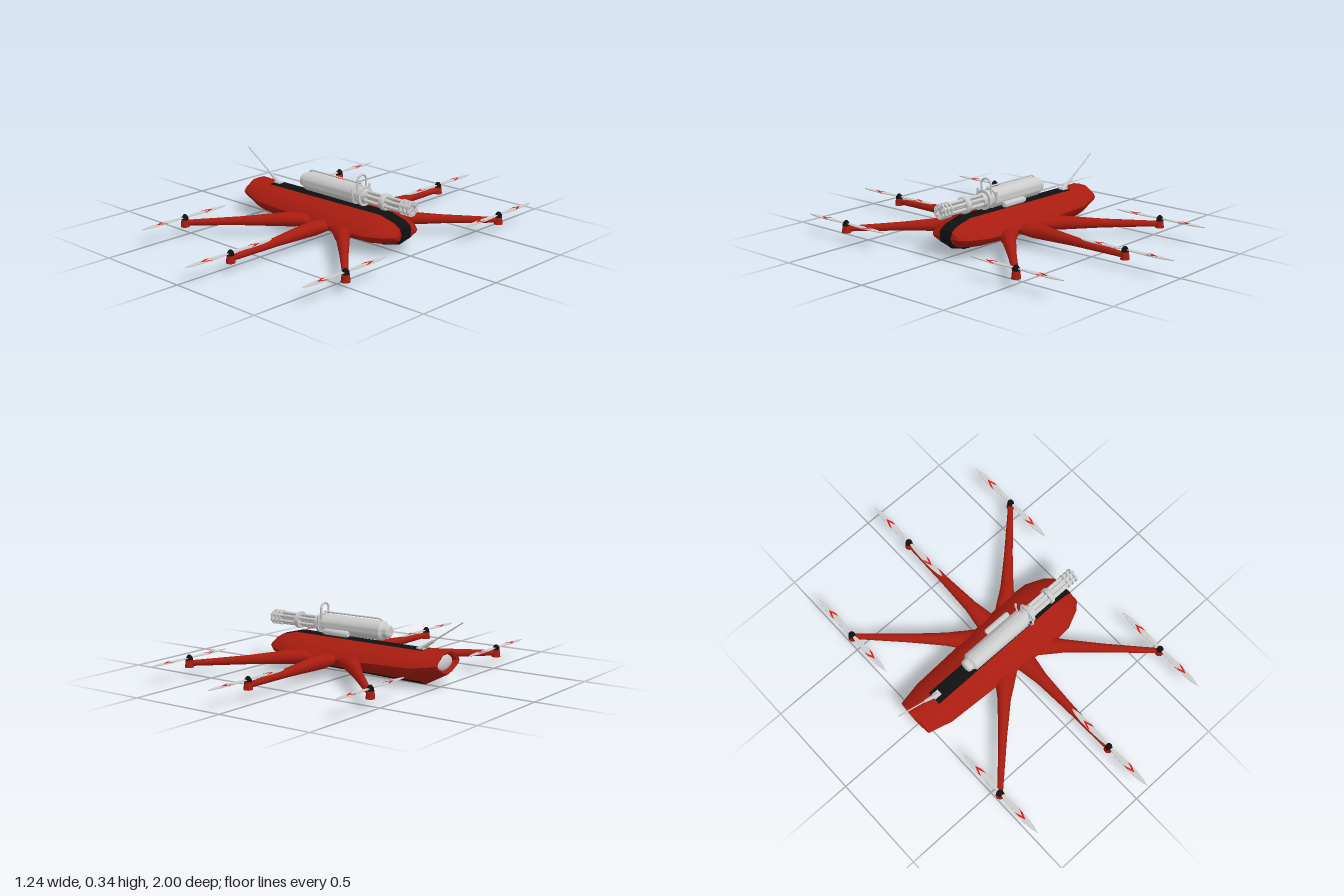
import * as THREE from 'three';
import { toCreasedNormals } from 'three/addons/utils/BufferGeometryUtils.js';

const paint = (color) => new THREE.MeshStandardMaterial({ color });
const red = paint(0xa81c10), black = paint(0x101010), grey = paint(0xcccccc), signal = paint(0xd81818);
const V = (x, y, z) => new THREE.Vector3(x, y, z);

function add(parent, name, geometry, material, x = 0, y = 0, z = 0) {
  const mesh = new THREE.Mesh(geometry, material);
  mesh.name = name;
  mesh.position.set(x, y, z);
  parent.add(mesh);
  return mesh;
}

// Skin between rings that follow +x; pick(i, j) chooses which panels to keep
function loft(rings, pick = () => true, crease = 0.6) {
  const pos = [];
  for (let i = 0; i < rings.length - 1; i++) {
    const n = rings[i].length;
    for (let j = 0; j < n; j++) {
      if (!pick(i, j)) continue;
      const k = (j + 1) % n;
      const a = rings[i][j], b = rings[i][k], c = rings[i + 1][k], d = rings[i + 1][j];
      for (const p of [a, b, c, a, c, d]) pos.push(p.x, p.y, p.z);
    }
  }
  const g = new THREE.BufferGeometry();
  g.setAttribute('position', new THREE.Float32BufferAttribute(pos, 3));
  return toCreasedNormals(g, crease);
}

// Turned part lying along x; profile holds [x, radius] pairs
function turned(profile, sides = 24) {
  const g = new THREE.LatheGeometry(profile.map(([x, r]) => new THREE.Vector2(r, x)), sides);
  return toCreasedNormals(g.rotateZ(-Math.PI / 2), 0.6);
}

function rod(points, radius, sides = 8) {
  const path = new THREE.CatmullRomCurve3(points, false, 'catmullrom', 0.15);
  return new THREE.TubeGeometry(path, points.length * 8, radius, sides);
}

// Hull cross-section: narrow spine, sloping flanks, V-shaped keel
function hullRing([x, top, bottom, w, mid]) {
  const up = top - mid, down = mid - bottom, s = Math.min(0.038, w * 0.45);
  const half = [
    [0, top], [s, mid + up * 0.95], [w * 0.62, mid + up * 0.66], [w * 0.9, mid + up * 0.32], [w, mid],
    [w * 0.9, mid - down * 0.3], [w * 0.62, mid - down * 0.57], [s, mid - down * 0.8], [0, bottom],
  ];
  const other = half.slice(1, -1).reverse().map(([z, y]) => [-z, y]);
  return [...half, ...other].map(([z, y]) => V(x, y, z));
}

function buildHull(root) {
  // x, top, bottom, half width, height of widest line
  const stations = [
    [-0.50, 0.160, 0.088, 0.070, 0.124],
    [-0.535, 0.168, 0.080, 0.085, 0.124],
    [-0.54, 0.178, 0.070, 0.102, 0.124],
    [-0.415, 0.178, 0.005, 0.130, 0.105],
    [-0.10, 0.181, 0.011, 0.145, 0.100],
    [0.22, 0.184, 0.018, 0.168, 0.100],
    [0.34, 0.185, 0.022, 0.160, 0.102],
    [0.43, 0.162, 0.045, 0.120, 0.104],
    [0.465, 0.140, 0.073, 0.088, 0.106],
    [0.472, 0.106, 0.106, 0.075, 0.106],
  ];
  const rings = stations.map(hullRing);
  const stripe = (i, j) => i >= 3 && [0, 7, 8, 15].includes(j);
  add(root, 'hull', loft(rings, (i, j) => !stripe(i, j)), red);
  add(root, 'hullStripe', loft(rings, stripe), black);
  const lens = add(root, 'rearLens', new THREE.SphereGeometry(1, 24, 12), grey, -0.51, 0.124, 0);
  lens.scale.set(0.02, 0.04, 0.078);
}

// Flat pointed propeller lying along z, with a chevron on each blade
function buildRotor(parent) {
  const rotor = new THREE.Group();
  rotor.name = 'rotor';
  parent.add(rotor);
  const outline = [[0.006, 0.015], [0.011, 0.05], [0.015, 0.12], [0.014, 0.19], [0.009, 0.23], [0, 0.265]];
  const right = [...outline.slice(0, -1).reverse().map(([x, z]) => [x, -z]), ...outline];
  const left = right.slice(0, -1).reverse().map(([x, z]) => [-x, z]);
  const shape = new THREE.Shape([...right, ...left, [0, -0.265]].map(([x, z]) => new THREE.Vector2(x, z)));
  const flat = (s, t) => new THREE.ExtrudeGeometry(s, { depth: t, bevelEnabled: false })
    .translate(0, 0, -t / 2).rotateX(Math.PI / 2);
  add(rotor, 'blades', flat(shape, 0.004), grey);
  for (const side of [1, -1]) {
    const chevron = [[0, 0.178], [0.014, 0.14], [0.014, 0.118], [0, 0.155], [-0.014, 0.118], [-0.014, 0.14]];
    const mark = new THREE.Shape(chevron.map(([x, z]) => new THREE.Vector2(x, z * side)));
    add(rotor, 'bladeMark', flat(mark, 0.0055), signal);
  }
  rotor.position.y = 0.102;
}

function buildArm(root, x0, x1, z0, z1) {
  const arm = new THREE.Group();
  arm.name = 'arm';
  root.add(arm);
  // Tapered boom, flaring where it enters the hull
  const length = Math.hypot(x1 - x0, z1 - z0);
  const stations = [[0, 0.06, 0.026, 0.092], [0.1, 0.044, 0.036, 0.09], [0.16, 0.033, 0.035, 0.089],
    [0.35, 0.022, 0.023, 0.083], [1, 0.013, 0.014, 0.075]];
  const rings = stations.map(([u, w, h, y]) => Array.from({ length: 12 }, (_, k) => {
    const a = k * Math.PI / 6;
    return V(u === 1 ? length : u, y + h * Math.cos(a), w * Math.sin(a));
  }));
  const boom = add(arm, 'boom', loft(rings, undefined, 1), red, x0, 0, z0);
  boom.rotation.y = -Math.atan2(z1 - z0, x1 - x0);
  // Motor pod and propeller at the tip
  const tip = new THREE.Group();
  tip.name = 'motor';
  tip.position.set(x1, 0, z1);
  arm.add(tip);
  add(tip, 'motorPod', new THREE.CylinderGeometry(0.018, 0.022, 0.036, 16), red, 0, 0.073, 0);
  add(tip, 'motorBell', new THREE.CylinderGeometry(0.016, 0.018, 0.016, 16), black, 0, 0.097, 0);
  add(tip, 'motorCap', new THREE.SphereGeometry(0.013, 14, 6, 0, Math.PI * 2, 0, Math.PI / 2), black, 0, 0.105, 0);
  buildRotor(tip);
}

function buildGun(root) {
  const gun = new THREE.Group();
  gun.name = 'rotaryGun';
  gun.position.y = 0.237;
  root.add(gun);
  add(gun, 'gunHousing', turned([[-0.212, 0], [-0.212, 0.024], [-0.205, 0.032], [-0.182, 0.034], [-0.17, 0.048],
    [0.165, 0.049], [0.165, 0.04], [0.196, 0.038], [0.196, 0.049], [0.212, 0.049], [0.212, 0.036],
    [0.232, 0.034], [0.232, 0]], 32), grey);
  // Six barrels around a central spindle
  for (let i = 0; i < 6; i++) {
    const a = i * Math.PI / 3;
    const barrel = turned([[0.22, 0], [0.22, 0.008], [0.514, 0.008], [0.514, 0.0045], [0.48, 0.0045], [0.48, 0]], 12);
    add(gun, 'barrel', barrel, grey, 0, 0.026 * Math.cos(a), 0.026 * Math.sin(a));
  }
  add(gun, 'spindle', turned([[0.22, 0], [0.22, 0.012], [0.5, 0.012], [0.5, 0]], 16), grey);
  add(gun, 'barrelClamp', turned([[0.33, 0], [0.33, 0.042], [0.35, 0.042], [0.356, 0.036], [0.356, 0]]), grey);
  for (const x of [0.455, 0.48, 0.503])
    add(gun, 'barrelRing', turned([[x - 0.004, 0.018], [x - 0.004, 0.037], [x + 0.004, 0.037], [x + 0.004, 0.018],
      [x - 0.004, 0.018]]), grey);
  // Carrying rail, upright hoop and lower cradle
  add(gun, 'topRail', rod([V(-0.172, 0.03, 0), V(-0.165, 0.048, 0), V(-0.14, 0.058, 0), V(0.188, 0.058, 0)], 0.0045), grey);
  add(gun, 'hoop', rod([V(0.186, 0.02, -0.03), V(0.186, 0.08, -0.03), V(0.186, 0.096, -0.02), V(0.186, 0.103, 0),
    V(0.186, 0.096, 0.02), V(0.186, 0.08, 0.03), V(0.186, 0.02, 0.03)], 0.0055), grey);
  const cradle = add(gun, 'cradle', new THREE.TorusGeometry(0.062, 0.004, 8, 28, Math.PI), grey, 0.18, 0.022, 0);
  cradle.rotation.set(Math.PI, Math.PI / 2, 0);
  for (const z of [-0.062, 0.062])
    add(gun, 'cradleGrip', new THREE.CylinderGeometry(0.006, 0.006, 0.03, 10), grey, 0.18, 0.03, z);
  // Side canister
  add(gun, 'sideCanister', turned([[-0.01, 0], [-0.01, 0.013], [0, 0.016], [0.13, 0.016], [0.138, 0.012], [0.138, 0]], 16),
    grey, 0, -0.026, -0.07);
  add(gun, 'canisterBracket', new THREE.BoxGeometry(0.08, 0.01, 0.04), grey, 0.065, -0.024, -0.05);
}

function buildAntenna(root) {
  const antenna = new THREE.Group();
  antenna.name = 'antenna';
  antenna.position.set(-0.385, 0.172, -0.005);
  antenna.rotation.z = Math.PI / 2 - Math.atan2(0.156, 0.237);
  root.add(antenna);
  add(antenna, 'antennaSleeve', new THREE.CylinderGeometry(0.007, 0.012, 0.1, 12), grey, 0, 0.045, 0);
  add(antenna, 'antennaWhip', new THREE.CylinderGeometry(0.003, 0.004, 0.19, 8), grey, 0, 0.189, 0);
  add(root, 'antennaBase', new THREE.BoxGeometry(0.04, 0.014, 0.03), grey, -0.395, 0.177, -0.005);
}

export function createModel() {
  const root = new THREE.Group();
  root.name = 'multirotor';
  buildHull(root);
  for (const s of [1, -1]) {
    buildArm(root, 0.15, 0.598, 0.1 * s, 0.548 * s);
    buildArm(root, 0.06, 0.06, 0.1 * s, 0.735 * s);
    buildArm(root, -0.035, -0.483, 0.1 * s, 0.548 * s);
  }
  buildGun(root);
  buildAntenna(root);
  return root;
}
